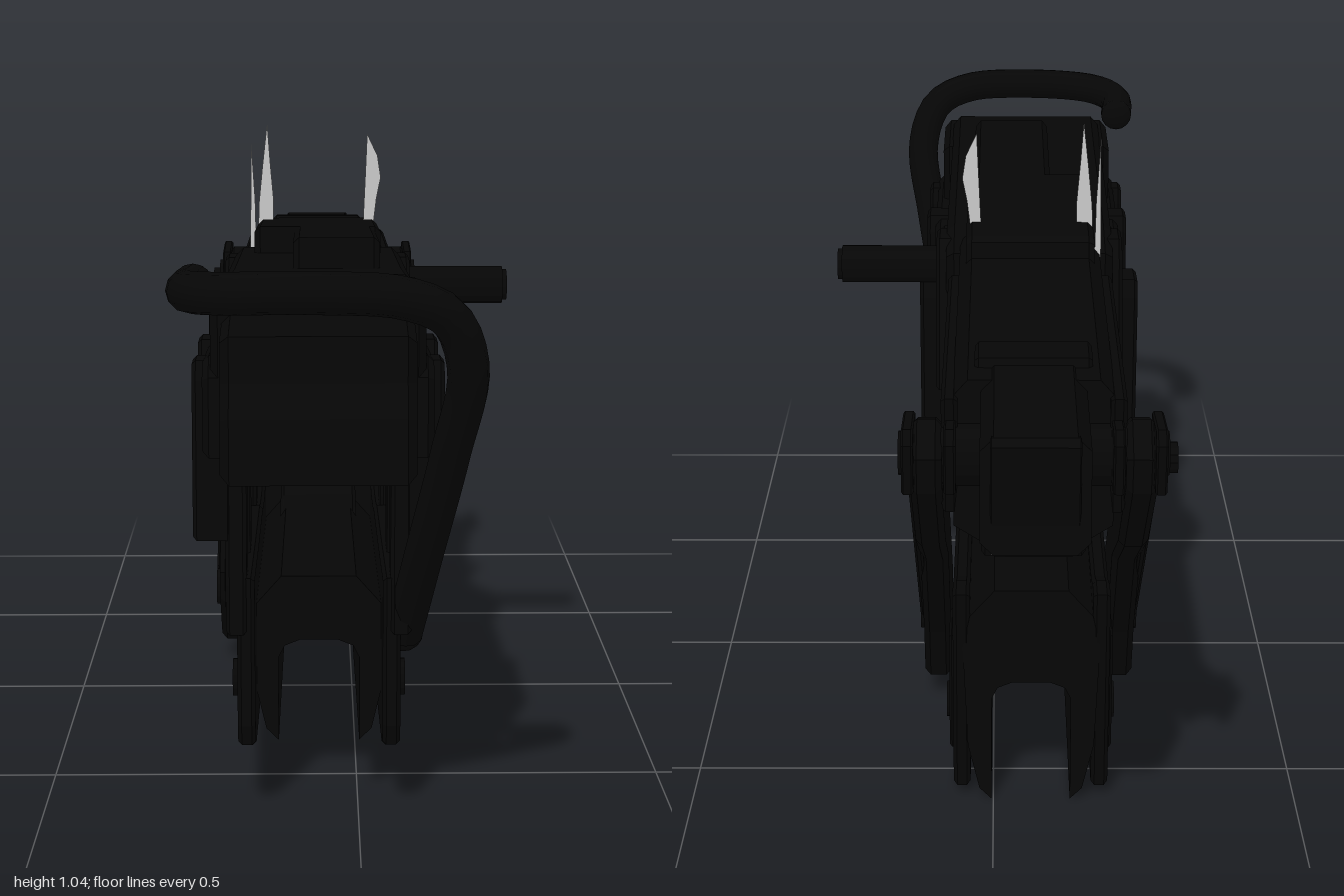
import * as THREE from 'three';

const DARK = new THREE.MeshStandardMaterial({ color: 0x060606, flatShading: true });
const SMOOTH = new THREE.MeshStandardMaterial({ color: 0x060606 });
const GREY = new THREE.MeshStandardMaterial({ color: 0xcccccc, side: THREE.DoubleSide });
const MID = -0.062;   // the body's own centre plane in x
const SLOPE = 0.055;  // the body rises slightly towards the front

const shapeOf = pts => new THREE.Shape(pts.map(p => new THREE.Vector2(p[0], p[1])));

export function createModel() {
  const root = new THREE.Group();

  const add = (name, geo, mat = DARK) => {
    const m = new THREE.Mesh(geo, mat);
    m.name = name;
    root.add(m);
  };

  // side profile of [z, y] points, extruded from x0 to x1 with a small bevel
  const slab = (name, pts, x0, x1, bevel = 0.006) => {
    const g = new THREE.ExtrudeGeometry(shapeOf(pts), {
      depth: x1 - x0 - 2 * bevel, bevelEnabled: true,
      bevelThickness: bevel, bevelSize: bevel, bevelOffset: -bevel, bevelSegments: 1,
    });
    g.rotateY(-Math.PI / 2);
    g.translate(x1 - bevel, 0, 0);
    add(name, g);
  };

  // cross-section of [x from MID, y at z = 0] points, run along the sloping body
  const run = (name, pts, z0, z1) => {
    const g = new THREE.ExtrudeGeometry(shapeOf(pts), { depth: z1 - z0, bevelEnabled: false });
    g.translate(MID, 0, z0);
    const p = g.attributes.position;
    for (let i = 0; i < p.count; i++) p.setY(i, p.getY(i) + SLOPE * p.getZ(i));
    g.computeVertexNormals();
    add(name, g);
  };

  // chamfered box section
  const chamfer = (w, y0, y1, c) => [
    [-w + c, y0], [w - c, y0], [w, y0 + c], [w, y1 - c],
    [w - c, y1], [-w + c, y1], [-w, y1 - c], [-w, y0 + c]];

  // slab on both sides, a and b measured outwards from MID
  const pair = (name, pts, a, b, bevel) => {
    slab(name + 'Left', pts, MID + a, MID + b, bevel);
    slab(name + 'Right', pts, MID - b, MID - a, bevel);
  };

  const rod = (name, x0, x1, y, z, r, n = 16) => {
    const g = new THREE.CylinderGeometry(r, r, x1 - x0, n);
    g.rotateZ(Math.PI / 2);
    g.translate((x0 + x1) / 2, y, z);
    add(name, g);
  };
  const boltPair = (name, y, z, r, a, b) => {
    rod(name + 'Left', MID + a, MID + b, y, z, r);
    rod(name + 'Right', MID - b, MID - a, y, z, r);
  };

  // ---- lower cradle: side plates and arched channel ----
  pair('cradlePlate', [
    [0.70, 0.39], [0.70, 0.15], [0.685, 0.115], [0.64, 0.10], [-0.59, 0.02],
    [-0.61, 0.375], [-0.56, 0.378], [-0.5, 0.36], [-0.2, 0.36], [-0.08, 0.35],
    [0.02, 0.355], [0.08, 0.365], [0.4, 0.375]], 0.1, 0.128);
  const arch = (top, inner, base) => [
    [0.065, base], [0.085, base + 0.02], [0.104, base + 0.1], [0.112, top - 0.1], [0.1, top - 0.045],
    [0.06, top], [-0.06, top], [-0.1, top - 0.045], [-0.112, top - 0.1], [-0.104, base + 0.1],
    [-0.085, base + 0.02], [-0.065, base],
    [-0.065, inner - 0.03], [-0.055, inner - 0.01], [-0.03, inner],
    [0.03, inner], [0.055, inner - 0.01], [0.065, inner - 0.03]];
  run('cradleArchRear', arch(0.413, 0.25, 0.036), -0.605, -0.2);
  run('cradleArchFront', arch(0.335, 0.23, 0.062), -0.2, 0.6);
  slab('archRamp', [[-0.2, 0.402], [-0.2, 0.3], [0.0, 0.32], [-0.08, 0.35]], MID - 0.07, MID + 0.07);
  boltPair('frontCradleBolt', 0.2, 0.595, 0.03, 0.11, 0.138);
  boltPair('rearCradleBolt', 0.135, -0.5, 0.03, 0.11, 0.14);
  pair('cradleRearPad', [[-0.42, 0.08], [-0.55, 0.07], [-0.56, 0.28], [-0.45, 0.28]], 0.12, 0.135, 0.004);

  // ---- posts rising from the cradle, with clamps on the body ----
  const posts = [[0.705, 0.625, 0.69, 0.61], [0.495, 0.405, 0.485, 0.395], [0.075, -0.035, 0.06, -0.04]];
  for (const [f0, r0, f1, r1] of posts) {
    pair('post', [[f0, 0.3], [f0, 0.38], [f1, 0.6], [r1, 0.6], [r0, 0.38], [r0, 0.3]], 0.112, 0.145);
    pair('postClamp', [[f1 + 0.008, 0.45], [f1, 0.7], [f1 - 0.015, 0.73], [r1 + 0.015, 0.73], [r1, 0.7],
      [r1 + 0.008, 0.45]], 0.135, 0.195);
  }
  pair('sideGusset', [[0.12, 0.57], [0.06, 0.78], [0.03, 0.81], [-0.04, 0.81], [-0.07, 0.78], [-0.14, 0.56]],
    0.13, 0.165);

  // ---- upper body ----
  slab('receiver', [
    [0.85, 0.57], [0.85, 0.67], [0.825, 0.72], [0.825, 0.79], [0.71, 0.81], [0.69, 0.865],
    [0.5, 0.85], [0.0, 0.825], [-0.1, 0.8], [-0.1, 0.565], [0.28, 0.575], [0.3, 0.565], [0.6, 0.565]],
    MID - 0.147, MID + 0.147, 0.014);
  slab('frontCap', [[0.72, 0.6], [0.72, 0.85], [0.53, 0.84], [0.53, 0.59]], MID - 0.165, MID + 0.165, 0.012);
  slab('topCoverFront', [[0.5, 0.9], [0.51, 0.83], [0.1, 0.81], [0.1, 0.876]], MID - 0.04, MID + 0.1, 0.01);
  slab('topCoverRear', [[0.15, 0.879], [0.15, 0.81], [-0.22, 0.79], [-0.205, 0.85], [-0.19, 0.858]],
    MID - 0.11, MID + 0.11, 0.01);
  run('middleHousing', [
    [-0.06, 0.548], [0.06, 0.548], [0.075, 0.57], [0.122, 0.6], [0.122, 0.81], [0.1, 0.835],
    [-0.1, 0.835], [-0.122, 0.81], [-0.122, 0.6], [-0.075, 0.57]], -0.76, -0.05);
  run('barrel', chamfer(0.08, 0.658, 0.838, 0.02), -0.985, -0.7);
  slab('muzzleLip', [[-0.975, 0.61], [-0.98, 0.61], [-1.0, 0.775], [-0.985, 0.785], [-0.96, 0.78]],
    MID - 0.065, MID + 0.065, 0.002);
  run('frontBelly', chamfer(0.1, 0.525, 0.58, 0.02), 0.28, 0.5);
  pair('sideHousing', [[0.72, 0.585], [0.72, 0.71], [0.69, 0.74], [0.34, 0.72], [0.3, 0.69], [0.3, 0.56]],
    0.135, 0.178, 0.01);
  pair('sideRail', [[0.32, 0.69], [0.32, 0.735], [0.08, 0.72], [0.08, 0.67]], 0.14, 0.165);
  slab('rearLug', [[-0.64, 0.815], [-0.62, 0.77], [-0.72, 0.77], [-0.705, 0.81]], MID - 0.09, MID + 0.09);
  pair('rearSidePlate', [[-0.2, 0.79], [-0.1, 0.58], [-0.56, 0.56], [-0.76, 0.58], [-0.78, 0.77]], 0.115, 0.14);
  slab('rearHanger', [[-0.6, 0.56], [-0.63, 0.515], [-0.765, 0.51], [-0.77, 0.62], [-0.6, 0.62]],
    MID - 0.08, MID + 0.08);

  // grey end face beneath the barrel
  const endPlate = new THREE.PlaneGeometry(0.13, 0.09);
  endPlate.translate(MID, 0.56, -0.773);
  add('endPlate', endPlate, GREY);

  // ---- diagonal support arms and their pivots ----
  const armOutline = [
    [-0.72, 0.72], [-0.31, 0.415], [-0.08, 0.2], [-0.09, 0.14], [-0.18, 0.042], [-0.225, 0.045],
    [-0.27, 0.15], [-0.42, 0.355], [-0.61, 0.46], [-0.81, 0.63], [-0.825, 0.69], [-0.77, 0.735]];
  pair('supportArm', armOutline, 0.138, 0.186, 0.01);
  pair('armRib', [[-0.69, 0.66], [-0.17, 0.19], [-0.2, 0.15], [-0.72, 0.62]], 0.18, 0.194, 0.004);
  rod('pivotShaft', MID - 0.14, MID + 0.14, 0.675, -0.755, 0.05);
  boltPair('upperPivot', 0.675, -0.755, 0.034, 0.13, 0.205);
  boltPair('lowerPivot', 0.15, -0.17, 0.034, 0.11, 0.194);
  for (const a of [0.117, 0.18]) {
    pair('pivotProng', [[-0.72, 0.64], [-0.72, 0.73], [-0.83, 0.74], [-0.848, 0.72], [-0.84, 0.64]],
      a, a + 0.018, 0.003);
  }

  // ---- side pin and knob ----
  rod('sidePin', 0.06, 0.272, 0.755, -0.01, 0.034, 12);
  rod('sidePinTip', 0.27, 0.28, 0.755, -0.01, 0.028, 12);
  rod('sideKnob', -0.28, -0.2, 0.668, -0.755, 0.024, 12);

  // ---- bent tube handle ----
  const bend = [
    [-0.25, 0.857, 0.74], [-0.25, 0.863, 0.87], [-0.2, 0.87, 0.94], [-0.06, 0.874, 0.966],
    [0.06, 0.866, 0.962], [0.125, 0.835, 0.94], [0.155, 0.755, 0.905], [0.135, 0.62, 0.835],
    [0.1, 0.44, 0.74], [0.072, 0.29, 0.655]].map(p => new THREE.Vector3(...p));
  const curve = new THREE.CatmullRomCurve3(bend, false, 'centripetal');
  add('handle', new THREE.TubeGeometry(curve, 48, 0.031, 12), SMOOTH);
  for (const p of [bend[0], bend[bend.length - 1]]) {
    const g = new THREE.SphereGeometry(0.031, 12, 8);
    g.scale(1, 1, 0.4);
    g.translate(p.x, p.y, p.z);
    add('handleEnd', g, SMOOTH);
  }

  // ---- thin upright blades ----
  const blades = [
    [[-0.172, 0.8], [-0.143, 0.8], [-0.143, 0.9], [-0.149, 0.97], [-0.154, 1.04], [-0.163, 0.96], [-0.17, 0.89]],
    [[-0.186, 0.8], [-0.175, 0.8], [-0.177, 0.9], [-0.184, 1.01]],
    [[0.02, 0.8], [0.035, 0.8], [0.047, 0.9], [0.055, 0.94], [0.049, 0.98], [0.03, 1.02], [0.027, 0.95]]];
  for (const pts of blades) {
    const g = new THREE.ShapeGeometry(shapeOf(pts));
    g.translate(0, 0, -0.12);
    add('blade', g, GREY);
  }
  return root;
}
